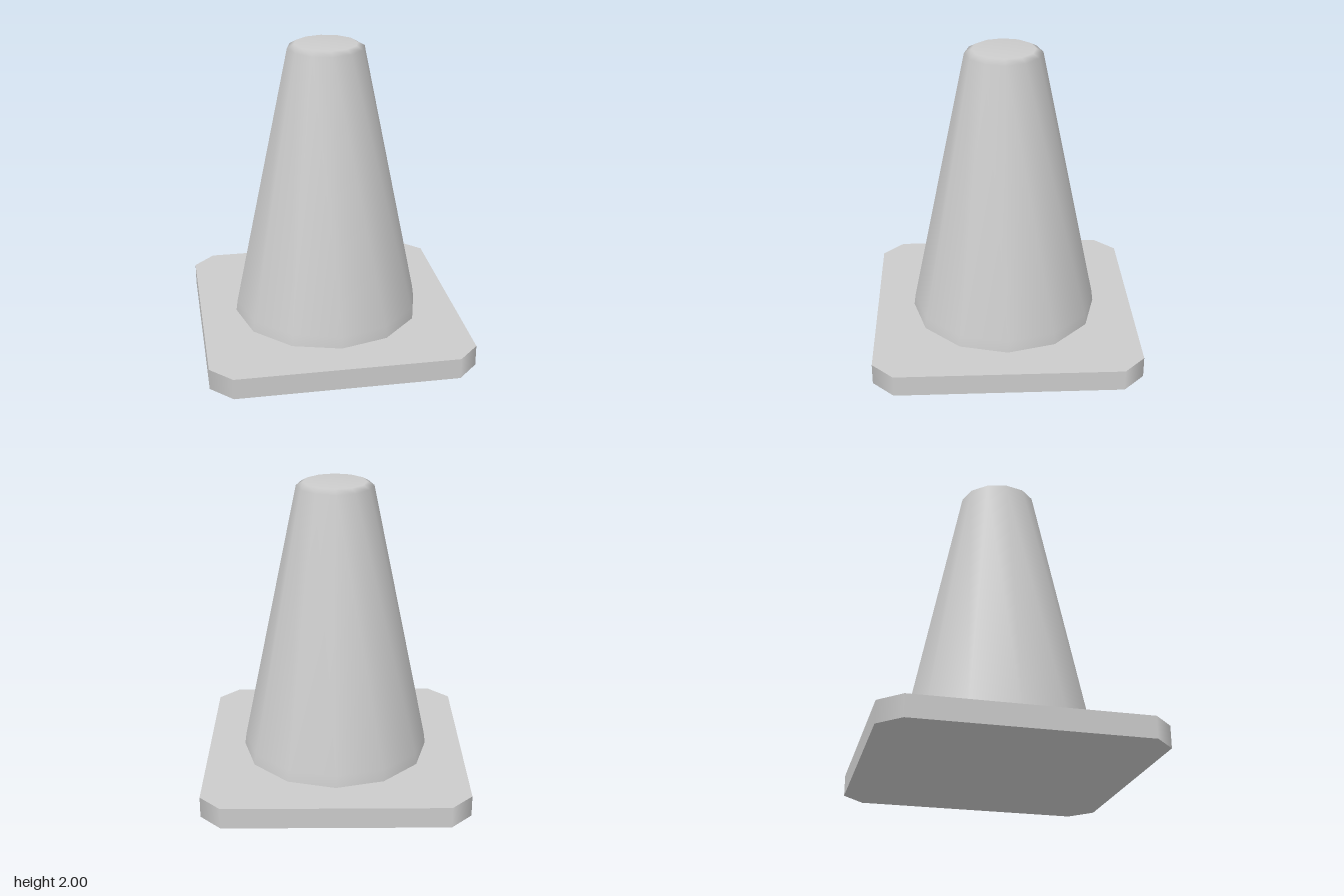
import * as THREE from 'three';

const material = new THREE.MeshStandardMaterial({ color: 0xcccccc });

// Flat rectangular slab with cut corners, shaded softly around each corner
function createBase(hx, hz, cut, height) {
  const shape = new THREE.Shape([
    [hx - cut, -hz], [hx, cut - hz], [hx, hz - cut], [hx - cut, hz],
    [cut - hx, hz], [-hx, hz - cut], [-hx, cut - hz], [cut - hx, -hz],
  ].map(([x, z]) => new THREE.Vector2(x, z)));
  const geometry = new THREE.ExtrudeGeometry(shape, { depth: height, bevelEnabled: false });
  geometry.rotateX(-Math.PI / 2);

  // Every wall vertex takes the normal of the long side it belongs to
  const { position, normal } = geometry.attributes;
  for (let i = 0; i < position.count; i++) {
    if (Math.abs(normal.getY(i)) > 0.5) continue;
    const x = position.getX(i), z = position.getZ(i);
    if (Math.abs(x) > hx - cut / 2) normal.setXYZ(i, Math.sign(x), 0, 0);
    else normal.setXYZ(i, 0, 0, Math.sign(z));
  }
  const base = new THREE.Mesh(geometry, material);
  base.name = 'base';
  return base;
}

// Twelve-sided tapered body with a bevelled rim and closed top
function createCone() {
  const profile = [
    [0.625, 0.14], [0.615, 0.215], [0.25, 1.975], [0.205, 2], [0, 2],
  ].map(([r, y]) => new THREE.Vector2(r, y));
  const cone = new THREE.Mesh(new THREE.LatheGeometry(profile, 12), material);
  cone.name = 'cone';
  return cone;
}

export function createModel() {
  const model = new THREE.Group();
  model.name = 'trafficCone';
  model.add(createBase(0.865, 0.877, 0.14, 0.14), createCone());
  return model;
}
